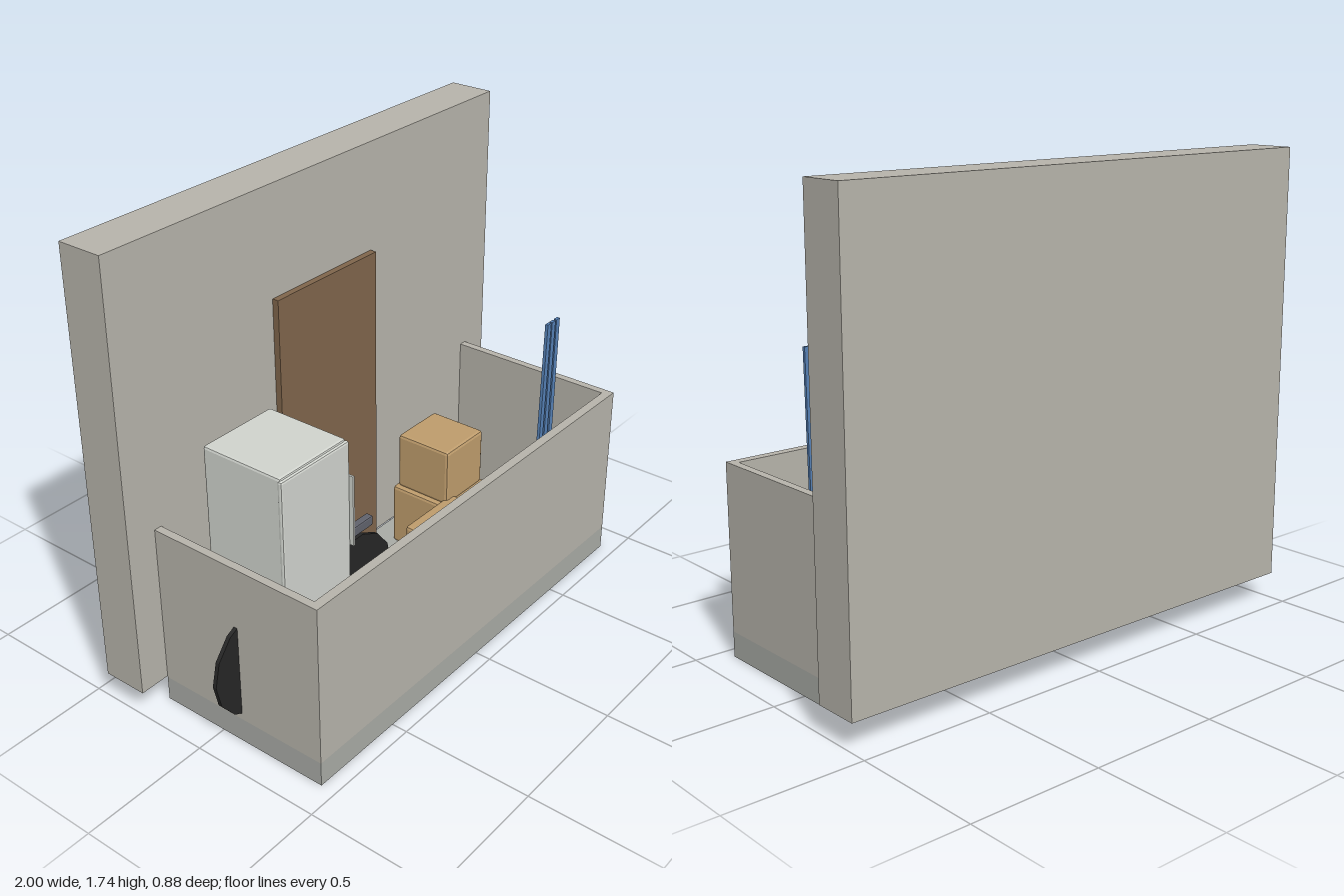
import * as THREE from 'three';
import { RoundedBoxGeometry } from 'three/addons/geometries/RoundedBoxGeometry.js';

const mat = (color) => new THREE.MeshStandardMaterial({ color, flatShading: true });
const concrete = mat(0xb6b3aa), floorGrey = mat(0xa8aaa5), doorBrown = mat(0x7f654b);
const enamel = mat(0xd0d3cd), card = mat(0xbe9c6c), blue = mat(0x5580b5);
const rubber = mat(0x262626), slate = mat(0x60626c);

// Box given by its min and max corners; a bevel chamfers its edges
function box(parent, name, material, [x0, y0, z0], [x1, y1, z1], bevel = 0) {
  const w = x1 - x0, h = y1 - y0, d = z1 - z0;
  const geometry = bevel ? new RoundedBoxGeometry(w, h, d, 1, bevel) : new THREE.BoxGeometry(w, h, d);
  const mesh = new THREE.Mesh(geometry, material);
  mesh.position.set((x0 + x1) / 2, (y0 + y1) / 2, (z0 + z1) / 2);
  mesh.name = name;
  parent.add(mesh);
  return mesh;
}

// Thin rod between two points in the bicycle's plane
function rod(parent, name, a, b, z, radius) {
  const start = new THREE.Vector3(a[0], a[1], z), end = new THREE.Vector3(b[0], b[1], z);
  const dir = end.clone().sub(start);
  const mesh = new THREE.Mesh(new THREE.CylinderGeometry(radius, radius, dir.length(), 6), slate);
  mesh.position.copy(start).add(end).multiplyScalar(0.5);
  mesh.quaternion.setFromUnitVectors(new THREE.Vector3(0, 1, 0), dir.normalize());
  mesh.name = name;
  parent.add(mesh);
}

function group(parent, name) {
  const g = new THREE.Group();
  g.name = name;
  parent.add(g);
  return g;
}

export function createModel() {
  const model = new THREE.Group();
  model.name = 'balcony';

  // House wall and balcony door
  box(model, 'houseWall', concrete, [-1, 0.1, -0.44], [1, 1.74, -0.265]);
  box(model, 'door', doorBrown, [-0.265, 0.1, -0.265], [0.265, 1.33, -0.24]);

  // Floor slab and parapet on three sides
  box(model, 'floorSlab', floorGrey, [-0.88, 0, -0.265], [0.88, 0.095, 0.44]);
  const parapet = new THREE.Shape([
    [-0.88, 0.265], [-0.88, -0.44], [0.88, -0.44], [0.88, 0.265],
    [0.85, 0.265], [0.85, -0.405], [-0.85, -0.405], [-0.85, 0.265],
  ].map(([x, y]) => new THREE.Vector2(x, y)));
  const rail = new THREE.Mesh(new THREE.ExtrudeGeometry(parapet, { depth: 0.62, bevelEnabled: false }), concrete);
  rail.rotation.x = -Math.PI / 2;
  rail.position.y = 0.095;
  rail.name = 'parapet';
  model.add(rail);

  // Refrigerator with a door panel and handle
  const fridge = group(model, 'refrigerator');
  box(fridge, 'fridgeBody', enamel, [-0.695, 0.095, -0.205], [-0.365, 0.975, 0.135], 0.01);
  box(fridge, 'fridgeDoor', enamel, [-0.7, 0.11, 0.125], [-0.36, 0.967, 0.145], 0.008);
  box(fridge, 'fridgeHandle', enamel, [-0.36, 0.55, 0.13], [-0.352, 0.83, 0.158]);

  // Bicycle standing partly behind the refrigerator
  const bicycle = group(model, 'bicycle');
  const z = 0.085;
  for (const x of [-0.785, -0.275]) {
    const wheel = new THREE.Mesh(new THREE.CylinderGeometry(0.207, 0.207, 0.015, 14), rubber);
    wheel.rotation.set(Math.PI / 2, Math.PI / 14, 0);
    wheel.position.set(x, 0.3, z);
    wheel.name = 'wheel';
    bicycle.add(wheel);
  }
  rod(bicycle, 'topTube', [-0.64, 0.5], [-0.32, 0.5], z, 0.007);
  rod(bicycle, 'seatTube', [-0.28, 0.55], [-0.5, 0.27], z, 0.007);
  rod(bicycle, 'downTube', [-0.64, 0.5], [-0.5, 0.27], z, 0.007);
  rod(bicycle, 'chainStay', [-0.5, 0.27], [-0.275, 0.3], z, 0.007);
  box(bicycle, 'saddle', slate, [-0.38, 0.52, 0.07], [-0.18, 0.56, 0.1], 0.006);

  // Cardboard boxes
  const boxes = group(model, 'cardboardBoxes');
  for (const [x0, y0, z0, x1, y1, z1] of [
    [-0.235, 0.095, 0.12, 0, 0.32, 0.35],
    [0.06, 0.095, 0.06, 0.35, 0.37, 0.35],
    [0.28, 0.095, -0.17, 0.54, 0.35, 0.1],
    [0.295, 0.35, -0.155, 0.525, 0.58, 0.08],
  ]) box(boxes, 'cardboardBox', card, [x0, y0, z0], [x1, y1, z1], 0.012);

  // Three leaning slats
  const slats = group(model, 'slats');
  for (const [bottom, top] of [[0.527, 0.556], [0.563, 0.584], [0.6, 0.613]]) {
    const slat = box(slats, 'slat', blue, [-0.011, 0, 0.32], [0.011, 1, 0.332]);
    slat.position.set((bottom + top) / 2, 0.6, 0.326);
    slat.rotation.z = -Math.atan(top - bottom);
  }
  return model;
}
